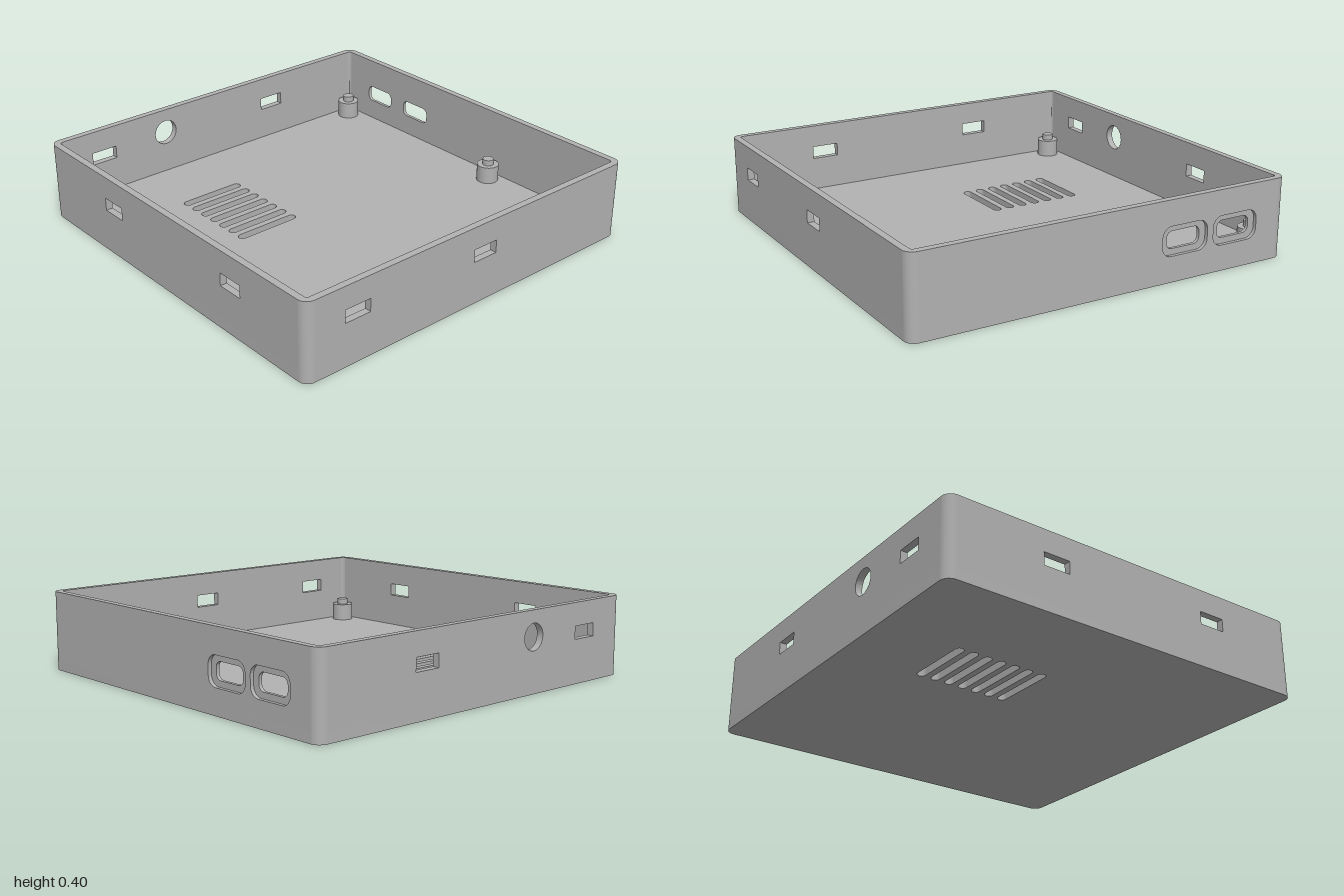
import * as THREE from 'three';
import { toCreasedNormals } from 'three/addons/utils/BufferGeometryUtils.js';

const SIDE = 1, HEIGHT = 0.4, WALL = 0.035, FLOOR = 0.05, RADIUS = 0.05;
const FLAT = SIDE - RADIUS; // half length of the straight part of a wall

// Rounded rectangle centred on (cx, cy); r = 0 gives sharp corners
function roundedRect(path, cx, cy, w, h, r) {
  const x = w / 2 - r, y = h / 2 - r, q = Math.PI / 2;
  if (r === 0) {
    path.moveTo(cx - x, cy - y).lineTo(cx + x, cy - y).lineTo(cx + x, cy + y).lineTo(cx - x, cy + y);
  } else {
    path.absarc(cx + x, cy - y, r, -q, 0);
    path.absarc(cx + x, cy + y, r, 0, q);
    path.absarc(cx - x, cy + y, r, q, 2 * q);
    path.absarc(cx - x, cy - y, r, 2 * q, 3 * q);
  }
  path.closePath();
  return path;
}

const hole = (...a) => roundedRect(new THREE.Path(), ...a);

function extrude(shape, depth) {
  const g = new THREE.ExtrudeGeometry(shape, { depth, bevelEnabled: false, curveSegments: 10 });
  return toCreasedNormals(g, 0.5);
}

export function createModel() {
  const model = new THREE.Group();
  model.name = 'enclosureTray';
  const grey = new THREE.MeshStandardMaterial({ color: 0xb2b2b2 });
  grey.name = 'grey plastic';

  const add = (parent, name, geometry) => {
    const mesh = new THREE.Mesh(geometry, grey);
    mesh.name = name;
    parent.add(mesh);
    return mesh;
  };

  // Floor with seven round-ended vent slots
  const floor = roundedRect(new THREE.Shape(), 0, 0, 2 * SIDE, 2 * SIDE, RADIUS);
  for (let i = 0; i < 7; i++) {
    floor.holes.push(hole(-0.574 + i * 0.0765, -0.325, 0.043, 0.35, 0.0214));
  }
  add(model, 'ventedFloor', extrude(floor, FLOOR).rotateX(-Math.PI / 2));

  // Straight wall layer, z measured outward from the centre
  const wallLayer = (holes, z, depth) => {
    const shape = roundedRect(new THREE.Shape(), 0, (HEIGHT + FLOOR) / 2, 2 * FLAT, HEIGHT - FLOOR, 0);
    shape.holes.push(...holes);
    return extrude(shape, depth).translate(0, 0, z);
  };
  const clipSlot = (u) => hole(u, 0.2525, 0.14, 0.065, 0);
  const port = (u, w, h, r) => hole(u, 0.2, w, h, r);
  const jack = new THREE.Path().absarc(0.335, 0.272, 0.066, 0, Math.PI * 2);
  const inner = SIDE - WALL, step = 0.018;

  // Each wall is drawn facing front, then turned into place
  const walls = [
    ['frontWall', 0, [[[clipSlot(-0.43), clipSlot(0.49)], inner, WALL]]],
    ['leftWall', 1, [[[clipSlot(-0.715), clipSlot(0.05)], inner, WALL]]],
    ['backWall', 2, [
      [[0.41, 0.70].map((u) => port(u, 0.185, 0.085, 0.03)), inner, WALL - step],
      [[0.41, 0.70].map((u) => port(u, 0.255, 0.145, 0.05)), SIDE - step, step],
    ]],
    ['rightWall', -1, [[[clipSlot(0.715), clipSlot(-0.375), jack], inner, WALL]]],
  ];
  for (const [name, turns, layers] of walls) {
    const wall = new THREE.Group();
    wall.name = name;
    wall.rotation.y = turns * Math.PI / 2;
    for (const layer of layers) add(wall, name + 'Panel', wallLayer(...layer));
    model.add(wall);
  }

  // Rounded corner posts joining the walls
  const corner = new THREE.Shape();
  corner.absarc(FLAT, FLAT, RADIUS, 0, Math.PI / 2);
  corner.absarc(FLAT, FLAT, RADIUS - WALL, Math.PI / 2, 0, true);
  corner.closePath();
  const cornerGeometry = extrude(corner, HEIGHT - FLOOR).rotateX(-Math.PI / 2).translate(0, FLOOR, 0);
  for (let i = 0; i < 4; i++) {
    add(model, 'wallCorner', cornerGeometry).rotation.y = i * Math.PI / 2;
  }

  // Standoffs with locating pins
  const post = new THREE.CylinderGeometry(0.057, 0.057, 0.09, 32).translate(0, FLOOR + 0.045, 0);
  const pin = new THREE.CylinderGeometry(0.029, 0.029, 0.03, 24).translate(0, FLOOR + 0.105, 0);
  for (const [x, z] of [[-0.888, -0.888], [0.23, -0.888], [-0.888, 0.888], [0.888, 0.888]]) {
    const standoff = new THREE.Group();
    standoff.name = 'standoff';
    standoff.position.set(x, 0, z);
    add(standoff, 'standoffPost', post);
    add(standoff, 'standoffPin', pin);
    model.add(standoff);
  }
  return model;
}
